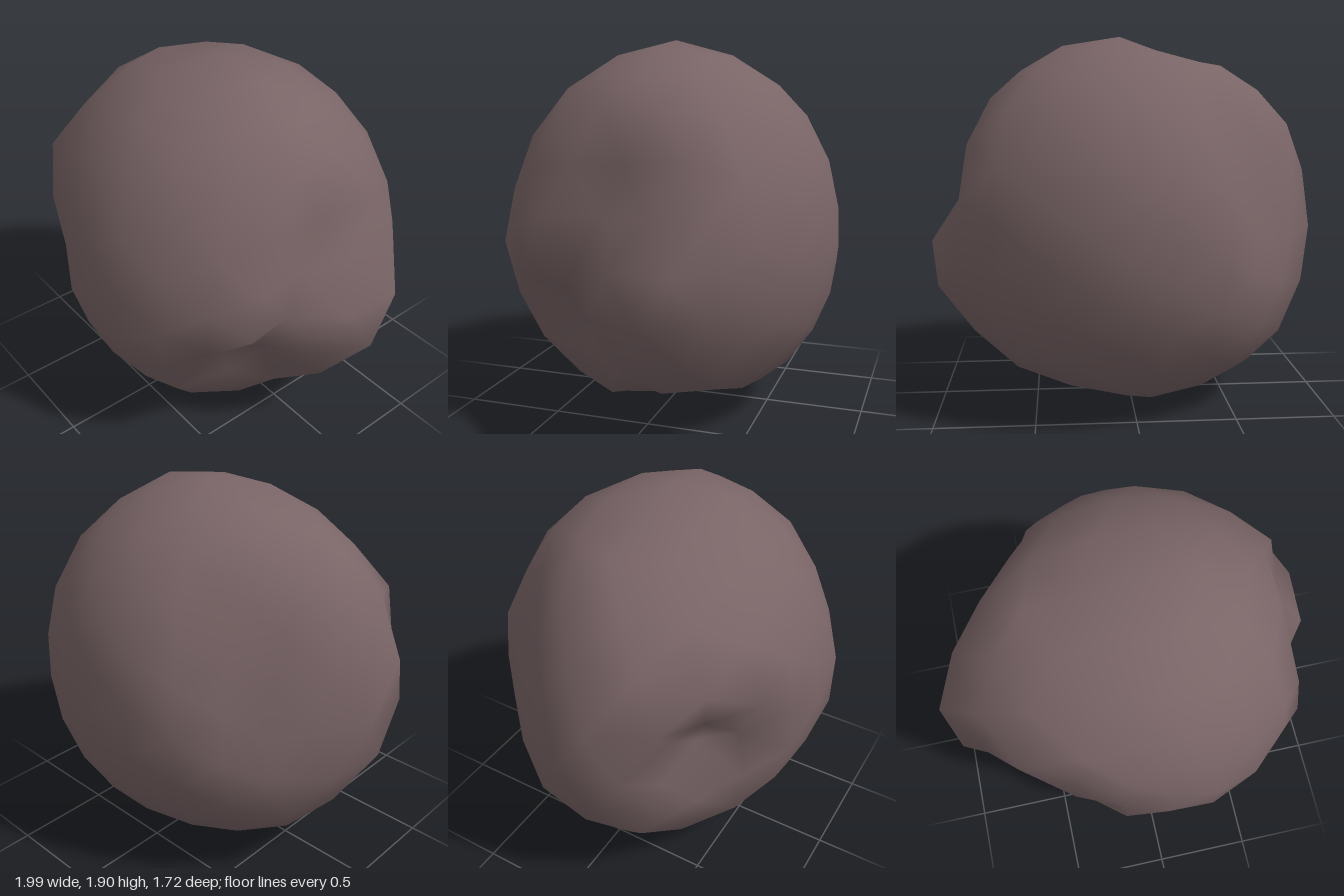
import * as THREE from 'three';
import { mergeVertices } from 'three/addons/utils/BufferGeometryUtils.js';

// Dents and bumps: direction, angular radius, depth (negative = bump)
const DENTS = [
  [[-0.71, -0.07, 0.62], 0.43, 0.32],  // deep front crater
  [[-0.68, 0.36, 0.64], 0.35, -0.06],  // raised lip above it
  [[0.72, -0.45, 0.39], 0.46, 0.26],   // deep lower crater
  [[0.95, 0.28, 0.08], 0.42, 0.21],    // side crater
  [[0.955, 0.0, 0.296], 0.20, 0.10],   // nick in the side crater's edge
  [[1.0, -0.05, -0.10], 0.32, -0.09],  // spur below the side crater
  [[0.36, -0.92, -0.13], 0.42, 0.14],  // underside crater
  [[-0.90, 0.15, -0.42], 0.55, 0.16],  // broad hollow at the back
  [[-0.62, 0.55, -0.50], 0.35, 0.07],  // dimple above the hollow
  [[-0.95, 0.28, 0.16], 0.30, -0.03],  // side bulge
  [[-0.90, -0.43, 0.00], 0.40, 0.04],  // flattened lower side
  [[-0.26, 0.96, 0.00], 0.25, 0.05],   // notch in the crown
  [[0.15, 0.99, 0.00], 0.28, -0.03],   // crown bulge
  [[0.35, 0.00, 0.94], 0.35, -0.04],   // front bulge
].map(([d, radius, depth]) => ({ dir: new THREE.Vector3(...d).normalize(), radius, depth }));

// Distance of the surface from the centre: a lopsided ball minus round bowls
function surfaceRadius(dir) {
  const { x, y, z } = dir;
  let r = 0.86 + (y > 0 ? 0.125 : 0.05) * y * y + (x > 0 ? 0.1 : 0.22) * x * x * (1 - z * z);
  for (const { dir: centre, radius, depth } of DENTS) {
    const t = dir.angleTo(centre) / radius;
    if (t < 1) r -= depth * (1 - t * t);
  }
  return r;
}

export function createModel() {
  const group = new THREE.Group();
  group.name = 'asteroid';

  // Shared vertices give smooth normals over the coarse facets
  let geometry = new THREE.IcosahedronGeometry(1, 3);
  geometry.deleteAttribute('normal');
  geometry.deleteAttribute('uv');
  geometry = mergeVertices(geometry, 1e-3);

  const pos = geometry.attributes.position;
  const dir = new THREE.Vector3();
  for (let i = 0; i < pos.count; i++) {
    dir.fromBufferAttribute(pos, i).normalize();
    const r = surfaceRadius(dir);
    pos.setXYZ(i, dir.x * r + 0.05, dir.y * r + 0.91, dir.z * r);
  }
  geometry.computeVertexNormals();

  const rock = new THREE.Mesh(geometry, new THREE.MeshStandardMaterial({ color: 0x796466 }));
  rock.name = 'crateredRock';
  group.add(rock);
  return group;
}
